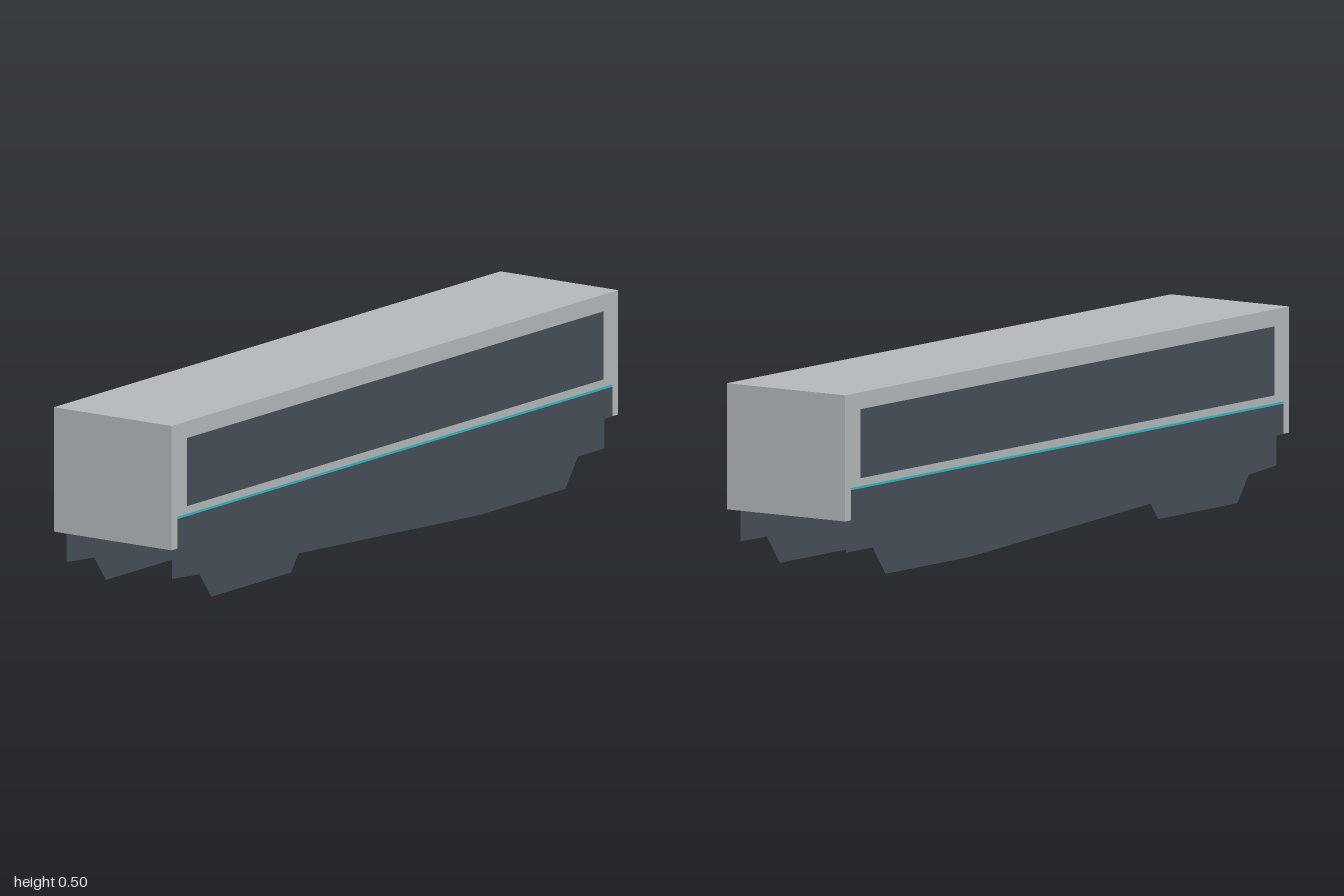
import * as THREE from 'three';

const grey = new THREE.MeshStandardMaterial({ color: 0xb4b8bb });
grey.name = 'bodyGrey';
const slate = new THREE.MeshStandardMaterial({ color: 0x464e56, side: THREE.DoubleSide });
slate.name = 'darkSlate';
const teal = new THREE.MeshStandardMaterial({ color: 0x35b5bd });
teal.name = 'stripeTeal';

const HALF_WIDTH = 0.191, FLOOR = 0.165, ROOF = 0.5;

// Skirt outline as [z, y], front to back
const SKIRT = [
  [0.97, FLOOR], [0.97, 0.08], [0.847, 0.07], [0.794, 0], [0.437, 0], [0.404, 0.045],
  [-0.41, 0], [-0.79, 0], [-0.848, 0.077], [-0.967, 0.077], [-0.967, FLOOR],
];

function box(name, material, size, position) {
  const mesh = new THREE.Mesh(new THREE.BoxGeometry(...size), material);
  mesh.name = name;
  mesh.position.set(...position);
  return mesh;
}

// Thin painted plate on one side wall
function plate(name, material, side, y0, y1, halfLength) {
  return box(name, material, [0.002, y1 - y0, halfLength * 2], [side * (HALF_WIDTH + 0.0005), (y0 + y1) / 2, 0]);
}

export function createModel() {
  const model = new THREE.Group();
  model.name = 'railCar';

  // Plain box body
  model.add(box('body', grey, [HALF_WIDTH * 2, ROOF - FLOOR, 2], [0, (FLOOR + ROOF) / 2, 0]));

  // Flat sheet skirt, shape x becomes z
  const skirtGeometry = new THREE.ShapeGeometry(
    new THREE.Shape(SKIRT.map(([z, y]) => new THREE.Vector2(-z, y))));
  skirtGeometry.rotateY(Math.PI / 2);

  for (const side of [1, -1]) {
    const label = side > 0 ? 'left' : 'right';
    model.add(plate(label + 'WindowBand', slate, side, 0.272, 0.455, 0.931));
    model.add(plate(label + 'Stripe', teal, side, 0.245, 0.251, 0.973));
    model.add(plate(label + 'LowerBand', slate, side, FLOOR, 0.245, 0.973));

    const skirt = new THREE.Mesh(skirtGeometry, slate);
    skirt.name = label + 'Skirt';
    skirt.position.x = side * 0.171;
    model.add(skirt);
  }
  return model;
}
